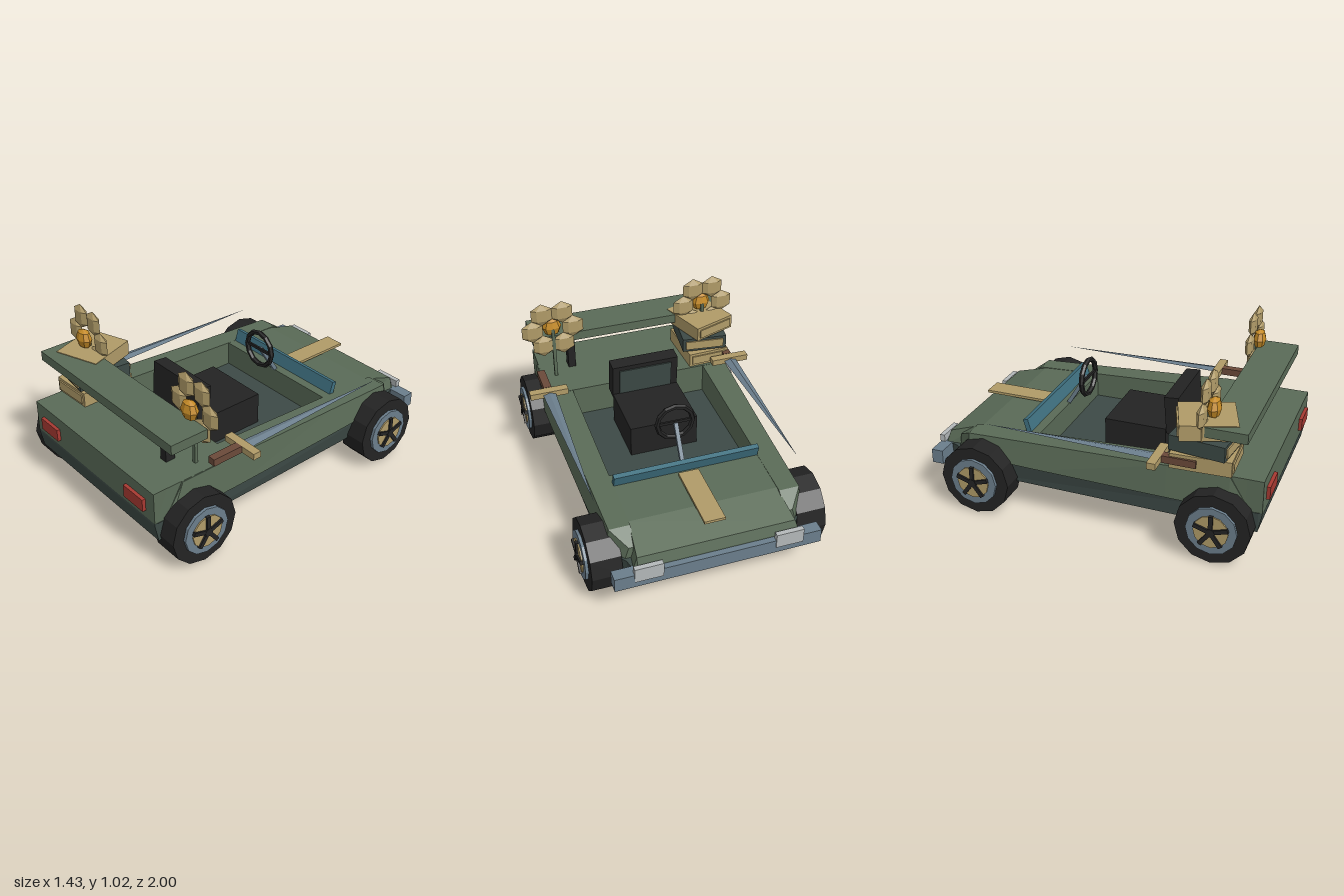
import * as THREE from 'three';

const colours = {
  bodyGreen: 0x5a6b57, darkGreen: 0x3d4a46, wood: 0xb09b68, black: 0x232323, steel: 0x6b7e8c,
  teal: 0x3f7080, amber: 0xc48a26, red: 0xa83a32, leatherBrown: 0x6b4a3a, lampWhite: 0xb4b9ba,
};
const mats = {};
for (const [name, color] of Object.entries(colours)) {
  mats[name] = new THREE.MeshStandardMaterial({ color, flatShading: true });
  mats[name].name = name;
}

function add(parent, name, geo, mat, x = 0, y = 0, z = 0) {
  const m = new THREE.Mesh(geo, mats[mat]);
  m.name = name;
  m.position.set(x, y, z);
  parent.add(m);
  return m;
}
const box = (w, h, d) => new THREE.BoxGeometry(w, h, d);
function group(parent, name, x = 0, y = 0, z = 0) {
  const g = new THREE.Group();
  g.name = name;
  g.position.set(x, y, z);
  parent.add(g);
  return g;
}

// Joins four-cornered sections running from +z to -z.
// Station: [z, bottom x0, bottom x1, top x0, top x1, bottom y, top y]
function loft(stations) {
  const rings = stations.map(([z, b0, b1, t0, t1, yb, yt]) =>
    [[b0, yb, z], [b1, yb, z], [t1, yt, z], [t0, yt, z]]);
  const pos = [];
  const quad = (a, b, c, d) => pos.push(...a, ...b, ...c, ...a, ...c, ...d);
  for (let i = 0; i < rings.length - 1; i++) {
    for (let k = 0; k < 4; k++) {
      const n = (k + 1) % 4;
      quad(rings[i][k], rings[i + 1][k], rings[i + 1][n], rings[i][n]);
    }
  }
  const first = rings[0], last = rings[rings.length - 1];
  quad(...first);
  quad(last[3], last[2], last[1], last[0]);
  const geo = new THREE.BufferGeometry();
  geo.setAttribute('position', new THREE.Float32BufferAttribute(pos, 3));
  geo.computeVertexNormals();
  return geo;
}
// Symmetric station: half widths at bottom and top
const sym = (z, b, t, yb, yt) => [z, -b, b, -t, t, yb, yt];

function addBody(car) {
  // Lower hull, whose top is the cockpit floor
  add(car, 'lowerHull', loft([
    sym(0.98, 0.57, 0.57, 0.285, 0.30), sym(0.96, 0.57, 0.575, 0.18, 0.30),
    sym(-0.78, 0.55, 0.57, 0.18, 0.30), sym(-0.88, 0.48, 0.49, 0.18, 0.30),
    sym(-0.95, 0.46, 0.47, 0.28, 0.30),
  ]), 'darkGreen');
  add(car, 'rearDeck', loft([
    sym(0.98, 0.57, 0.57, 0.285, 0.49), sym(0.89, 0.575, 0.57, 0.285, 0.49),
    sym(0.45, 0.59, 0.58, 0.30, 0.49),
  ]), 'bodyGreen');
  add(car, 'hood', loft([
    sym(-0.36, 0.44, 0.44, 0.30, 0.452), sym(-0.73, 0.44, 0.43, 0.30, 0.434),
    sym(-0.94, 0.47, 0.45, 0.30, 0.37), sym(-0.96, 0.47, 0.45, 0.30, 0.31),
  ]), 'bodyGreen');
  for (const s of [1, -1]) {
    const rail = (z, inner, bottom, top, yt) => s > 0
      ? [z, inner, bottom, inner, top, 0.30, yt]
      : [z, -bottom, -inner, -top, -inner, 0.30, yt];
    add(car, s > 0 ? 'leftSideRail' : 'rightSideRail', loft([
      rail(0.89, 0.43, 0.595, 0.575, 0.34), rail(0.80, 0.43, 0.60, 0.58, 0.489),
      rail(0.45, 0.43, 0.60, 0.58, 0.488), rail(-0.30, 0.43, 0.585, 0.56, 0.455),
      rail(-0.76, 0.43, 0.57, 0.55, 0.436), rail(-0.86, 0.43, 0.49, 0.47, 0.37),
    ]), 'bodyGreen');
    add(car, 'tailLight', box(0.17, 0.075, 0.03), 'red', s * 0.41, 0.383, 0.985);
    add(car, 'headlight', box(0.16, 0.09, 0.03), 'lampWhite', s * 0.40, 0.30, -0.985);
    add(car, 'wingPost', box(0.047, 0.23, 0.06), 'black', s * 0.367, 0.60, 0.735);
  }
  add(car, 'frontBumper', box(1.18, 0.085, 0.07), 'steel', 0, 0.26, -0.96);
  add(car, 'hoodPlank', box(0.12, 0.016, 0.42), 'wood', 0, 0.457, -0.685);
  add(car, 'dashboard', box(0.86, 0.10, 0.03), 'teal', 0, 0.472, -0.44).rotation.x = -0.28;
  add(car, 'rearWing', box(1.225, 0.057, 0.23), 'bodyGreen', 0, 0.743, 0.775);
}

function addCockpit(car) {
  add(car, 'seatBase', box(0.415, 0.195, 0.37), 'black', 0, 0.397, 0.135);
  const back = group(car, 'seatBack', 0, 0.585, 0.358);
  back.rotation.x = -0.08;
  add(back, 'backrest', box(0.415, 0.225, 0.085), 'black');
  add(back, 'backrestPad', box(0.33, 0.17, 0.009), 'darkGreen', 0, 0, -0.046);
  const wheel = group(car, 'steeringWheel', 0, 0.64, -0.24);
  add(wheel, 'steeringRim', new THREE.TorusGeometry(0.107, 0.016, 6, 12), 'black');
  add(wheel, 'steeringSpoke', box(0.20, 0.018, 0.012), 'black');
  add(car, 'steeringColumn', box(0.024, 0.225, 0.024), 'steel', 0, 0.545, -0.31)
    .rotation.x = Math.atan2(0.12, 0.19);
}

function addWheel(car, s, z) {
  const wheel = group(car, 'wheel', 0, 0.21, z);
  const disc = (name, r, x0, x1, mat, sides) => {
    const geo = new THREE.CylinderGeometry(r, r, x1 - x0, sides).rotateZ(Math.PI / 2);
    add(wheel, name, geo, mat, s * (x0 + x1) / 2);
  };
  disc('tyre', 0.21, 0.507, 0.68, 'black', 12);
  disc('rim', 0.142, 0.66, 0.697, 'steel', 12);
  disc('hubDisc', 0.097, 0.69, 0.705, 'wood', 12);
  disc('hubCap', 0.025, 0.69, 0.717, 'black', 8);
  for (let i = 0; i < 5; i++) {
    const a = i * Math.PI * 2 / 5;
    add(wheel, 'wheelSpoke', box(0.02, 0.095, 0.024), 'black',
      s * 0.705, Math.cos(a) * 0.052, Math.sin(a) * 0.052).rotation.x = a;
  }
}

function addFlower(car, s) {
  const flower = group(car, 'flower', s * 0.488, 0.832, 0.645);
  add(flower, 'stem', box(0.02, 0.34, 0.02), 'bodyGreen', 0, -0.17, 0);
  const petal = new THREE.SphereGeometry(0.075, 6, 3).scale(1, 1, 0.34);
  for (let i = 0; i < 6; i++) {
    const a = i * Math.PI / 3;
    add(flower, 'petal', petal, 'wood', Math.cos(a) * 0.127, Math.sin(a) * 0.11 / 0.866, 0);
  }
  add(flower, 'flowerCentre', new THREE.SphereGeometry(0.061, 8, 4).scale(1, 1, 0.65), 'amber', 0, 0, 0.03);
}

function addSword(car, s) {
  const sword = group(car, 'sword', s * 0.59, 0.54, 0);
  // Flattened four-sided cone pointing at the nose
  const blade = new THREE.ConeGeometry(0.04, 1.03, 4).rotateX(-Math.PI / 2).scale(1, 0.32, 1);
  add(sword, 'blade', blade, 'steel', 0, 0, -0.115);
  add(sword, 'guard', box(0.235, 0.038, 0.05), 'wood', 0, 0, 0.405);
  add(sword, 'grip', box(0.048, 0.042, 0.19), 'leatherBrown', 0, 0, 0.525);
}

function addCrates(car) {
  // [y, width, depth, turn, crate colour]
  const crates = [
    [0.536, 0.26, 0.34, 0.04, 'wood'], [0.636, 0.28, 0.32, -0.12, 'darkGreen'],
    [0.732, 0.28, 0.31, 0.34, 'wood'],
  ];
  for (const [y, w, d, turn, mat] of crates) {
    const crate = group(car, 'crate', -0.468, y, 0.635);
    crate.rotation.y = turn;
    add(crate, 'crateBox', box(w, 0.088, d), mat);
    for (const side of [1, -1]) {
      add(crate, 'cratePanel', box(w * 0.86, 0.055, 0.009), 'wood', 0, 0, side * (d / 2 + 0.004));
    }
  }
}

export function createModel() {
  const car = new THREE.Group();
  car.name = 'buggy';
  addBody(car);
  addCockpit(car);
  addCrates(car);
  for (const s of [1, -1]) {
    addWheel(car, s, 0.74);
    addWheel(car, s, -0.668);
    addFlower(car, s);
    addSword(car, s);
  }
  return car;
}
